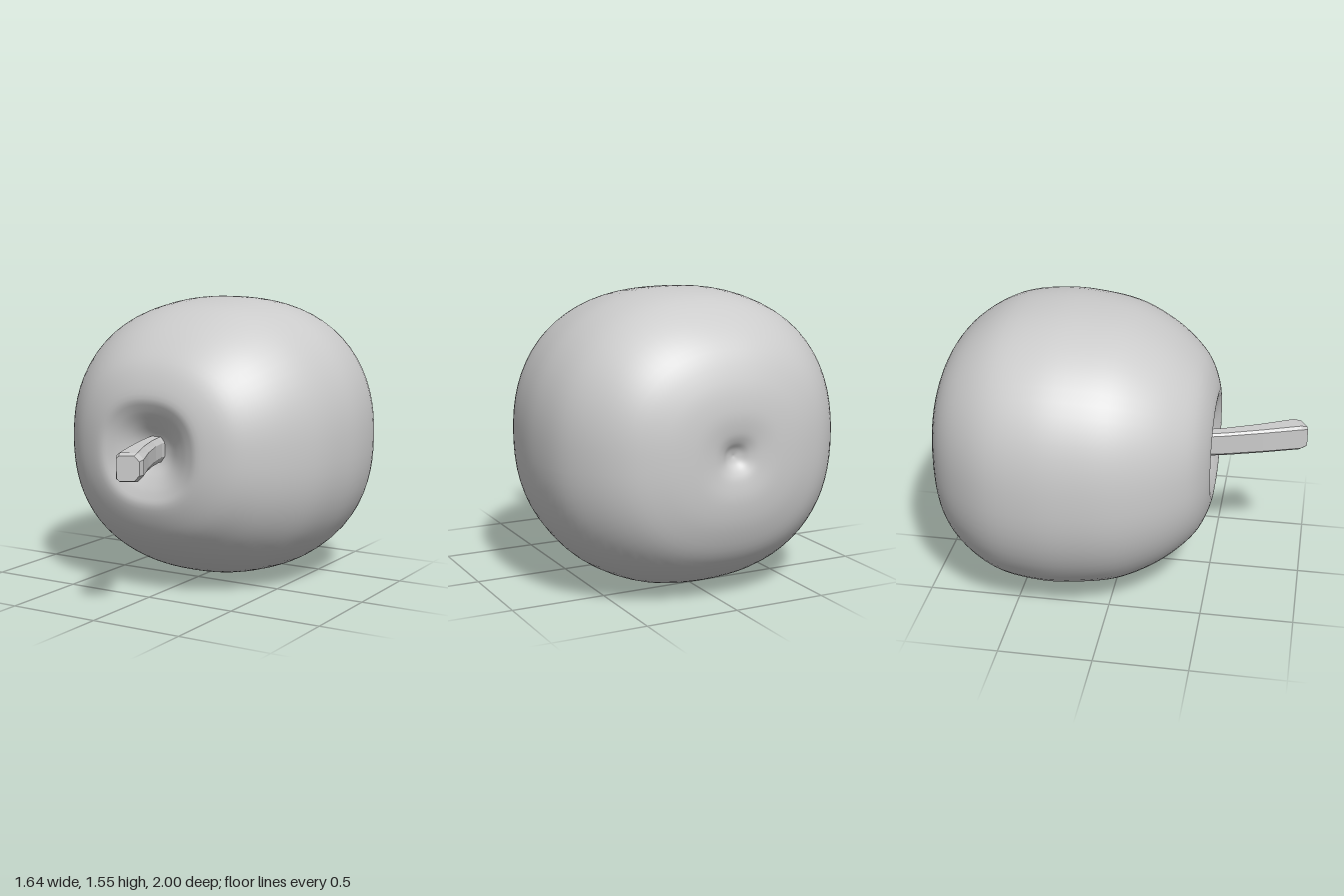
import * as THREE from 'three';
import { mergeVertices } from 'three/addons/utils/BufferGeometryUtils.js';

const material = () => new THREE.MeshStandardMaterial({ color: 0xcccccc });
const CENTER_Y = 0.775;

// Apple flesh: a lathed profile along z with a dimple at each end
function createBody() {
  const profile = [ // [radius, z], from the blossom dimple to the stem cavity
    [0, -0.938], [0.04, -0.95], [0.08, -0.975], [0.14, -0.994], [0.25, -1.0],
    [0.4, -0.972], [0.56, -0.9], [0.69, -0.77], [0.785, -0.59], [0.82, -0.36],
    [0.808, -0.15], [0.77, 0.04], [0.69, 0.21], [0.59, 0.345], [0.47, 0.45],
    [0.32, 0.508], [0.24, 0.494], [0.16, 0.455], [0.08, 0.41], [0, 0.39],
  ].map(([r, z]) => new THREE.Vector2(r, z));
  const points = new THREE.SplineCurve(profile).getPoints(80);
  points.forEach((p) => { p.x = Math.max(0, p.x); });

  let geometry = new THREE.LatheGeometry(points, 72);
  geometry.rotateX(Math.PI / 2);
  geometry.deleteAttribute('uv');
  geometry.deleteAttribute('normal');
  geometry = mergeVertices(geometry, 1e-5);

  // Square the round section slightly and flatten it vertically
  const pos = geometry.attributes.position;
  for (let i = 0; i < pos.count; i++) {
    const x = pos.getX(i), y = pos.getY(i), r = Math.hypot(x, y);
    if (r < 1e-5) continue;
    const c = Math.abs(x / r), s = Math.abs(y / r), n = 2.3;
    const k = Math.pow(c ** n + s ** n, -1 / n);
    pos.setXY(i, x * k, y * k * 0.945);
  }
  geometry.translate(0, CENTER_Y, 0);
  geometry.computeVertexNormals();
  const body = new THREE.Mesh(geometry, material());
  body.name = 'appleBody';
  return body;
}

// Stem: chamfered box sections swept along a gentle bend, with a bevelled end
function createStem() {
  const sections = [ // x, z, half width, half height, turn
    [-0.012, 0.34, 0.045, 0.066, 0.1],
    [0.0, 0.44, 0.042, 0.067, 0.25],
    [0.03, 0.55, 0.044, 0.068, 0.35],
    [0.1, 0.74, 0.053, 0.07, 0.4],
    [0.183, 0.935, 0.068, 0.072, 0.48],
    [0.196, 0.973, 0.056, 0.062, 0.5],
  ];
  // Corners of a unit square with chamfers, counter-clockwise
  const outline = [
    [1, -0.55], [1, 0.55], [0.55, 1], [-0.75, 1],
    [-1, 0.8], [-1, -0.8], [-0.75, -1], [0.55, -1],
  ];
  const sides = outline.length, positions = [], index = [];
  for (const [cx, cz, w, h, turn] of sections) {
    for (const [u, v] of outline) {
      positions.push(cx + u * w * Math.cos(turn), CENTER_Y + 0.005 + v * h, cz - u * w * Math.sin(turn));
    }
  }
  for (let k = 0; k < sections.length - 1; k++) {
    for (let i = 0; i < sides; i++) {
      const a = k * sides + i, b = k * sides + ((i + 1) % sides);
      index.push(a, b, b + sides, a, b + sides, a + sides);
    }
  }
  const last = (sections.length - 1) * sides;
  for (let i = 1; i < sides - 1; i++) {
    index.push(last, last + i, last + i + 1); // outer cap
    index.push(0, i + 1, i); // hidden base cap
  }
  const geometry = new THREE.BufferGeometry();
  geometry.setAttribute('position', new THREE.Float32BufferAttribute(positions, 3));
  geometry.setIndex(index);
  const flat = geometry.toNonIndexed();
  flat.computeVertexNormals();
  const stem = new THREE.Mesh(flat, material());
  stem.name = 'stem';
  return stem;
}

export function createModel() {
  const model = new THREE.Group();
  model.name = 'apple';
  model.add(createBody(), createStem());
  return model;
}
